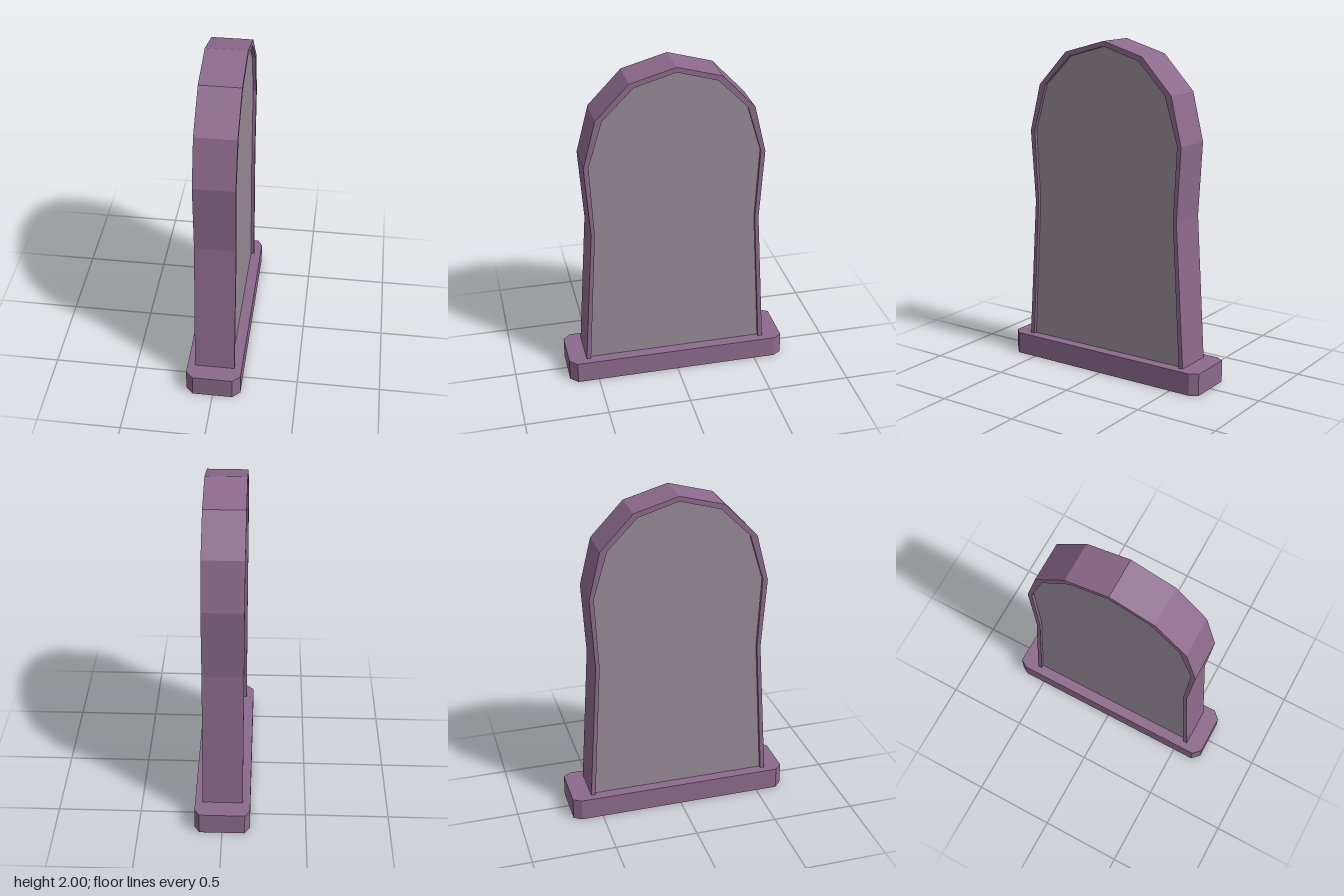
import * as THREE from 'three';

const purple = new THREE.MeshStandardMaterial({ color: 0x8c6a8c, flatShading: true });
const grey = new THREE.MeshStandardMaterial({ color: 0x968a96, flatShading: true });

// Outlines as [z, y], running from the front foot over the top to the back foot
const outer = [
  [0.567, 0.13], [0.51, 1.0], [0.54, 1.435], [0.466, 1.72], [0.27, 1.925], [0, 2.0],
  [-0.265, 1.925], [-0.46, 1.72], [-0.53, 1.435], [-0.505, 1.0], [-0.56, 0.13],
];
const inner = [
  [0.54, 0.13], [0.488, 1.0], [0.51, 1.44], [0.425, 1.72], [0.243, 1.9], [0, 1.97],
  [-0.24, 1.9], [-0.418, 1.72], [-0.503, 1.44], [-0.482, 1.0], [-0.533, 0.13],
];

const toShape = (points) => new THREE.Shape(points.map(([a, b]) => new THREE.Vector2(a, b)));

// Extrude a [z, y] outline along x, centred on x = 0
function slab(name, points, thickness, material) {
  const geometry = new THREE.ExtrudeGeometry(toShape(points), { depth: thickness, bevelEnabled: false });
  geometry.translate(0, 0, -thickness / 2).rotateY(-Math.PI / 2);
  const mesh = new THREE.Mesh(geometry, material);
  mesh.name = name;
  return mesh;
}

export function createModel() {
  const group = new THREE.Group();
  group.name = 'gravestone';

  // Arched rim, open at the foot, around a face recessed on both sides
  group.add(slab('rim', [...outer, ...[...inner].reverse()], 0.24, purple));
  group.add(slab('facePanel', inner, 0.2, grey));

  // Plinth with cut corners, drawn as [x, -z] and extruded upwards
  const plinth = [
    [-0.12, -0.675], [0.12, -0.675], [0.165, -0.63], [0.165, 0.63],
    [0.135, 0.678], [-0.135, 0.678], [-0.165, 0.63], [-0.165, -0.63],
  ];
  const geometry = new THREE.ExtrudeGeometry(toShape(plinth), { depth: 0.133, bevelEnabled: false });
  geometry.rotateX(-Math.PI / 2);
  const base = new THREE.Mesh(geometry, purple);
  base.name = 'plinth';
  group.add(base);

  return group;
}
